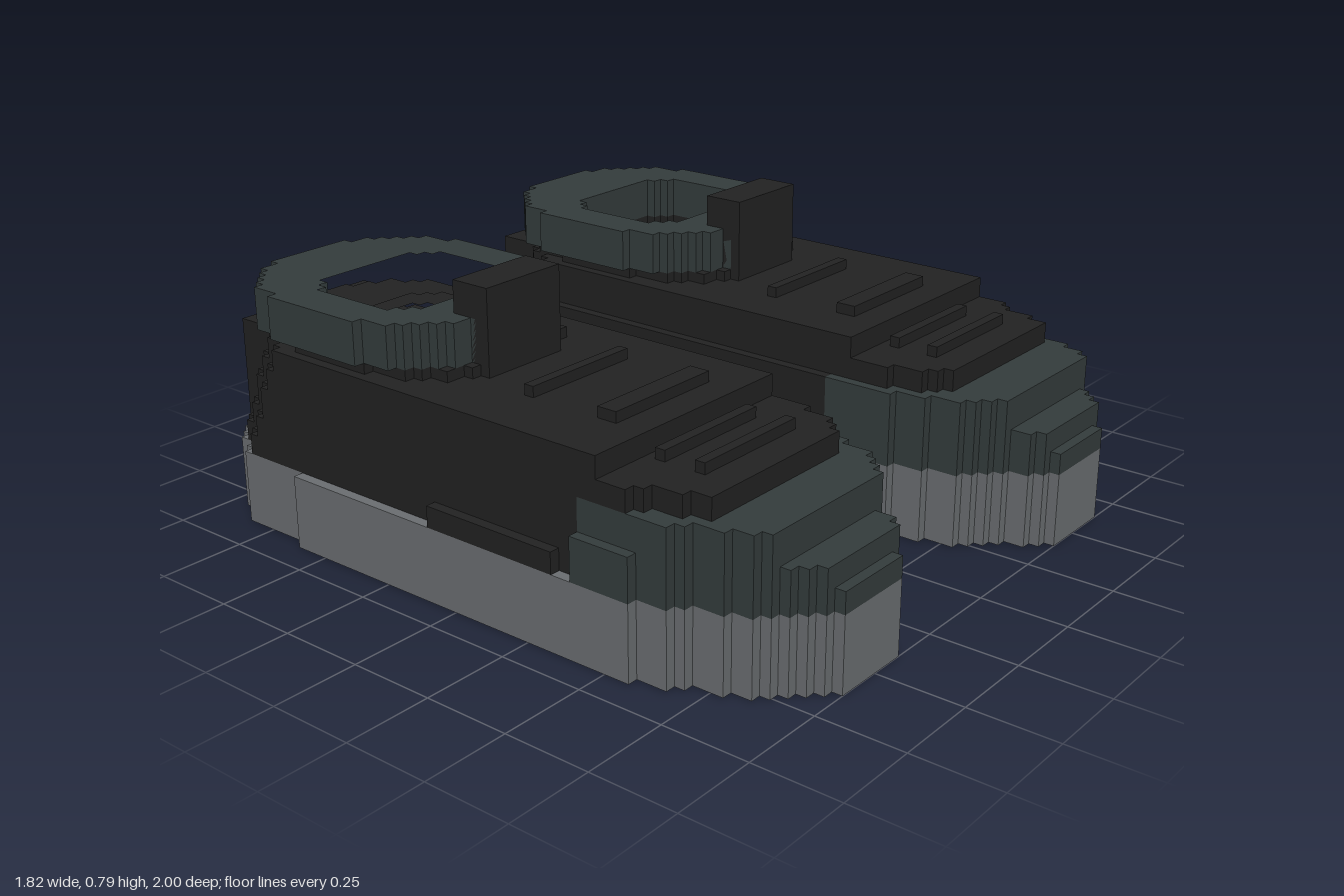
import * as THREE from 'three';

const U = 1 / 33; // size of one block

const material = (name, color) => {
  const m = new THREE.MeshStandardMaterial({ color });
  m.name = name;
  return m;
};

// Sole edges in blocks: [first row z, x]
const INNER = [[-33, 10], [-32, 9], [-31, 8], [-29, 7], [-28, 6], [-27, 5], [-13, 4], [14, 5],
  [20, 6], [23, 7], [26, 8], [27, 9], [28, 10], [29, 11], [31, 12], [32, 13]];
const OUTER = [[-33, 25], [-32, 26], [-31, 27], [-29, 28], [-28, 29], [-20, 30], [19, 29],
  [22, 28], [23, 27], [26, 26], [28, 25], [29, 24], [30, 23], [31, 22], [32, 21]];

function lookup(table, z) {
  let x = table[0][1];
  for (const [start, value] of table) if (z >= start) x = value;
  return x;
}

// Row edges of the footprint, narrowed towards the ends by shift and limited to lo..hi
const footprint = (shift, lo, hi) => (z) => {
  const s = z < 0 ? z - shift : z + shift;
  return [Math.max(lo, lookup(INNER, s)), Math.min(hi, lookup(OUTER, s))];
};

// Row edges of a rounded oval
const oval = (cx, cz, rx, rz, power) => (z) => {
  const t = Math.min(1, Math.abs(z + 0.5 - cz) / rz);
  const w = rx * Math.pow(1 - Math.pow(t, power), 1 / power);
  return [Math.round(cx - w), Math.round(cx + w)];
};

// Stepped outline following whole rows from z0 to z1
function outline(rows, z0, z1, side) {
  const near = [], far = [];
  for (let z = z0; z < z1; z++) {
    const [a, b] = rows(z);
    const add = (list, x) => {
      const n = list.length;
      if (n && list[n - 1].x === x * side * U) list[n - 1].y = -(z + 1) * U;
      else list.push(new THREE.Vector2(x * side * U, -z * U), new THREE.Vector2(x * side * U, -(z + 1) * U));
    };
    add(near, a);
    add(far, b);
  }
  return near.concat(far.reverse());
}

function createShoe(side, mats) {
  const shoe = new THREE.Group();
  shoe.name = side > 0 ? 'leftShoe' : 'rightShoe';

  const hole = outline(oval(17.5, -16.5, 7.4, 6.5, 5), -23, -10, side);

  const slab = (name, mat, rows, z0, z1, y0, y1, open) => {
    const shape = new THREE.Shape(outline(rows, z0, z1, side));
    if (open) shape.holes.push(new THREE.Path(hole));
    const geo = new THREE.ExtrudeGeometry(shape, { depth: (y1 - y0) * U, bevelEnabled: false });
    geo.rotateX(-Math.PI / 2);
    geo.translate(0, y0 * U, 0);
    const mesh = new THREE.Mesh(geo, mat);
    mesh.name = name;
    shoe.add(mesh);
  };
  const bar = (name, mat, x0, x1, y0, y1, z0, z1) =>
    slab(name, mat, () => [x0, x1], z0, z1, y0, y1, false);

  slab('sole', mats.sole, footprint(0, 0, 33), -33, 33, 0, 7, false);

  // Stacked layers of the upper: y0, y1, front z, inner limit, outer limit
  const layers = [[7, 9, 33, 5, 30], [9, 11, 32, 5, 30], [11, 14, 29, 5, 29],
    [14, 16, 24, 6, 29], [16, 18, 15, 6, 29]];
  layers.forEach(([y0, y1, front, lo, hi], k) => {
    const hasToe = k < 3;
    const body = footprint(1 + k, Math.max(lo, 5), Math.min(hi, 29));
    slab('upper', mats.upper, body, -32, hasToe ? 13 : front, y0, y1, true);
    if (hasToe) slab('toeCap', mats.trim, footprint(0, lo, hi), 13, front, y0, y1, false);
  });
  bar('sideStrip', mats.upper, 29, 30, 7, 9, -3, 11);

  // Ankle opening
  slab('ankleRim', mats.upper, oval(17.5, -16.5, 10.4, 13.5, 2.4), -30, -3, 18, 19, true);
  slab('collar', mats.trim, oval(17.5, -17.5, 11.6, 13.5, 2.4), -31, -4, 19, 23, true);
  bar('tongue', mats.upper, 13, 22, 18, 26, -7, -3);

  // Laces
  for (const [y, z0, z1] of [[18, 2, 3], [18, 10, 12], [16, 16, 17], [16, 20, 21]])
    bar('lace', mats.upper, 11, 23, y, y + 1, z0, z1);

  return shoe;
}

export function createModel() {
  const mats = {
    sole: material('soleGrey', 0x6b6e71),
    upper: material('upperBlack', 0x222222),
    trim: material('trimSlate', 0x343c3c),
  };
  const model = new THREE.Group();
  model.name = 'shoes';
  for (const side of [1, -1]) model.add(createShoe(side, mats));
  return model;
}
